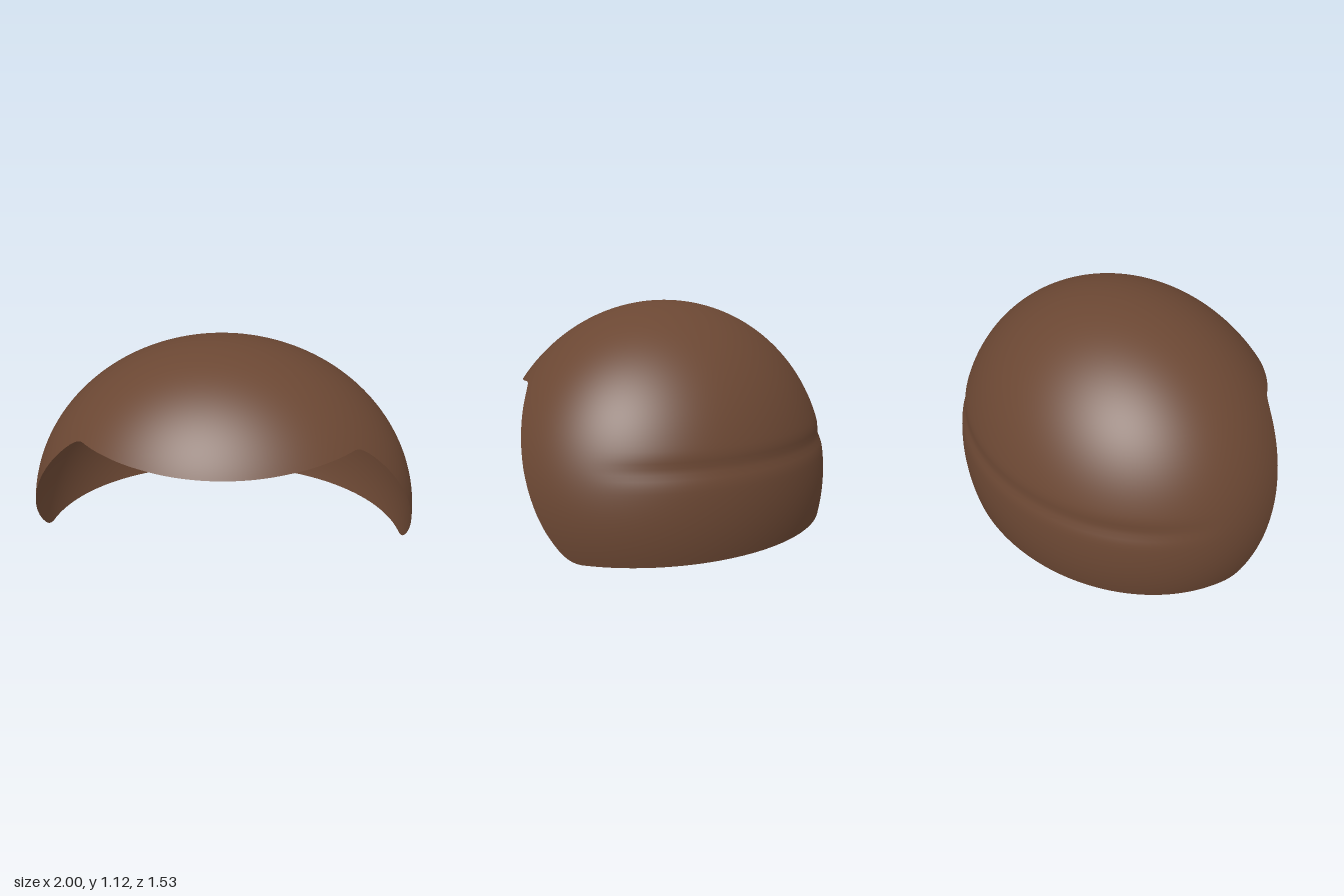
import * as THREE from 'three';

const CENTRE = { y: 0.22, z: 0.066 };
const RADIUS = { x: 1.0, y: 0.91, z: 0.836 };

// Height of the hem at each depth: level behind, swept up past the temples, short fringe in front
const HEM = [[-1, 0.01], [-0.01, 0.01], [0.03, 0.02], [0.06, 0.038], [0.1, 0.078], [0.15, 0.14],
  [0.2, 0.215], [0.25, 0.305], [0.3, 0.405], [0.35, 0.52], [0.4, 0.64], [0.43, 0.71],
  [0.45, 0.742], [0.47, 0.754], [0.5, 0.752], [0.6, 0.744], [0.7, 0.732], [0.77, 0.72], [1, 0.7]];

function hemHeight(z) {
  const i = Math.max(1, HEM.findIndex((p) => p[0] >= z));
  const [z0, y0] = HEM[i - 1], [z1, y1] = HEM[i];
  return y0 + (y1 - y0) * (z - z0) / (z1 - z0);
}

// Point on the domed shell, with a shallow groove across the back
function shellPoint(azimuth, polar) {
  const y = CENTRE.y + RADIUS.y * Math.cos(polar);
  const back = THREE.MathUtils.smoothstep(-Math.cos(azimuth), 0.1, 0.7);
  const r = Math.sin(polar) * (1 - 0.014 * back * Math.exp(-(((y - 0.43) / 0.04) ** 2)));
  return [RADIUS.x * r * Math.sin(azimuth), y, CENTRE.z + RADIUS.z * r * Math.cos(azimuth)];
}

// Polar angle at which the shell reaches the hem
function hemAngle(azimuth) {
  const above = (polar) => {
    const [, y, z] = shellPoint(azimuth, polar);
    return y > hemHeight(z);
  };
  let high = 0.3;
  while (above(high) && high < 2.2) high += 0.02;
  let low = high - 0.02;
  for (let i = 0; i < 20; i++) {
    const mid = (low + high) / 2;
    if (above(mid)) low = mid; else high = mid;
  }
  return low;
}

function shellGeometry(columns, rows) {
  const positions = [...shellPoint(0, 0)], indices = [];
  for (let c = 0; c < columns; c++) {
    const azimuth = (c / columns) * Math.PI * 2;
    const end = hemAngle(azimuth);
    for (let r = 1; r <= rows; r++) positions.push(...shellPoint(azimuth, end * r / rows));
  }
  for (let c = 0; c < columns; c++) {
    const a = 1 + c * rows, b = 1 + ((c + 1) % columns) * rows;
    indices.push(0, a, b);
    for (let r = 0; r < rows - 1; r++) {
      indices.push(a + r, a + r + 1, b + r + 1, a + r, b + r + 1, b + r);
    }
  }
  const geometry = new THREE.BufferGeometry();
  geometry.setAttribute('position', new THREE.Float32BufferAttribute(positions, 3));
  geometry.setIndex(indices);
  geometry.computeVertexNormals();
  return geometry;
}

export function createModel() {
  const group = new THREE.Group();
  group.name = 'hairCap';
  const brown = new THREE.MeshStandardMaterial({ color: 0x6b4733, side: THREE.DoubleSide });
  brown.name = 'brown';

  // Open-bottomed hair shell
  const shell = new THREE.Mesh(shellGeometry(240, 64), brown);
  shell.name = 'hairShell';
  group.add(shell);
  return group;
}
